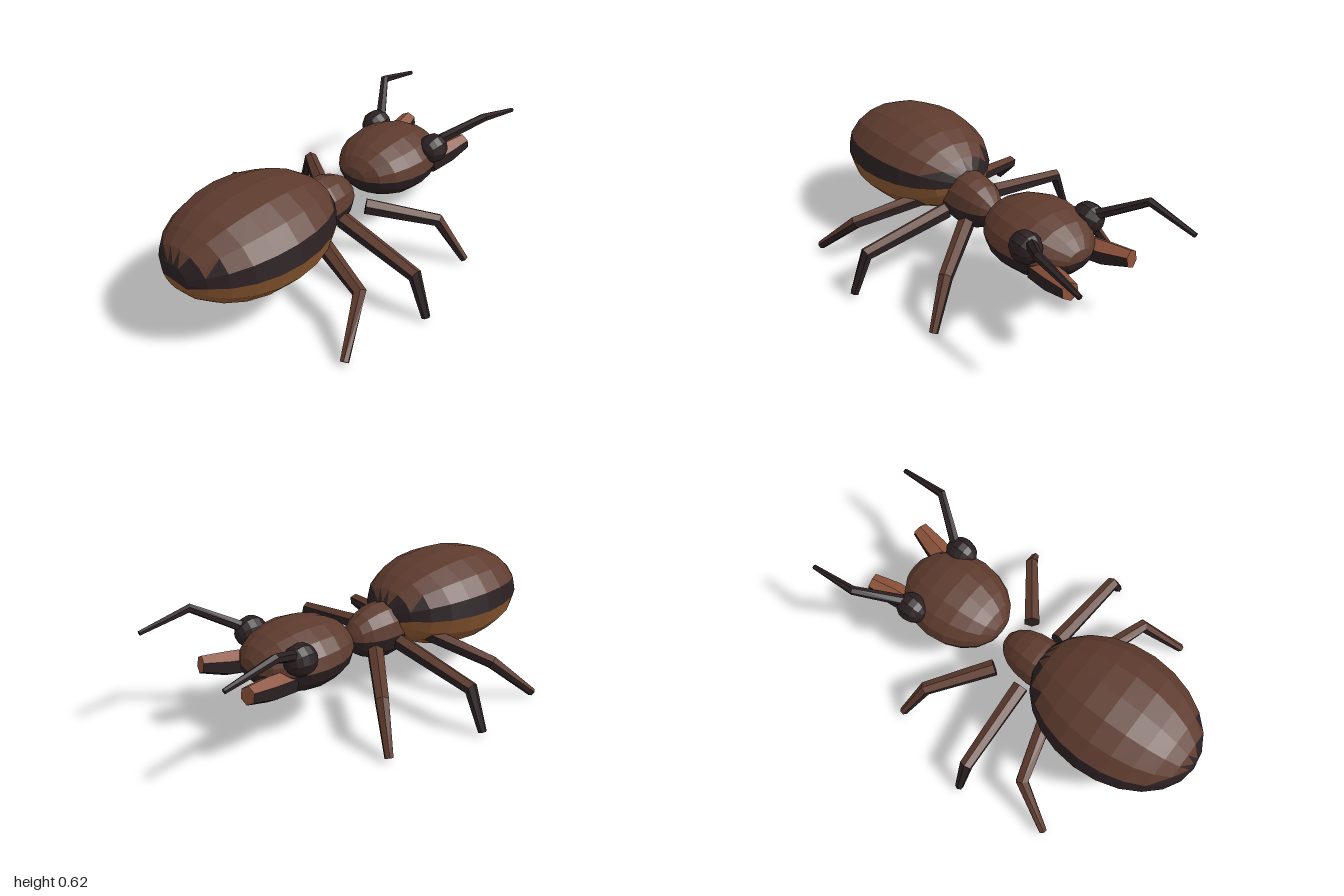
import * as THREE from 'three';

const V = (x, y, z) => new THREE.Vector3(x, y, z);

// Colours each triangle by a rule of its centre and normal, using geometry groups
function paintFaces(geometry, rule) {
  const g = geometry.toNonIndexed();
  const p = g.attributes.position;
  const tri = new THREE.Triangle();
  const mid = V(), normal = V();
  g.clearGroups();
  for (let i = 0; i < p.count; i += 3) {
    tri.setFromAttributeAndIndices(p, i, i + 1, i + 2);
    tri.getMidpoint(mid);
    tri.getNormal(normal);
    g.addGroup(i, 3, rule(mid, normal));
  }
  g.computeVertexNormals();
  return g;
}

// Ellipsoid with its poles along z
function ellipsoid(center, radii, around, along) {
  return new THREE.SphereGeometry(1, around, along)
    .rotateX(Math.PI / 2)
    .scale(...radii)
    .translate(...center);
}

// Six-sided limb through a few points, with a radius at each
function limb(points, radii) {
  const last = points.length - 1;
  const g = new THREE.CylinderGeometry(1, 1, 1, 6, last);
  const frames = points.map((c, i) => {
    const dir = points[Math.min(i + 1, last)].clone().sub(points[Math.max(i - 1, 0)]).normalize();
    const side = dir.clone().cross(V(0, 1, 0)).normalize();
    return { c, side, down: dir.clone().cross(side) };
  });
  const p = g.attributes.position;
  for (let i = 0; i < p.count; i++) {
    const row = Math.round((0.5 - p.getY(i)) * last);
    const { c, side, down } = frames[row];
    const q = c.clone()
      .addScaledVector(side, p.getX(i) * radii[row])
      .addScaledVector(down, p.getZ(i) * radii[row]);
    p.setXYZ(i, q.x, q.y, q.z);
  }
  return g;
}

export function createModel() {
  const material = (name, color) => {
    const m = new THREE.MeshStandardMaterial({ color });
    m.name = name;
    m.flatShading = true;
    return m;
  };
  const brown = material('brown shell', 0x5e3b2e);
  const dark = material('dark shell', 0x2b2022);
  const tan = material('tan belly', 0x8a5730);
  const red = material('reddish jaw', 0x8a5039);

  const model = new THREE.Group();
  model.name = 'ant';
  const add = (name, geometry, mat) => {
    const mesh = new THREE.Mesh(geometry, mat);
    mesh.name = name;
    model.add(mesh);
  };

  // Abdomen: brown back, dark band, tan belly
  add('abdomen', paintFaces(ellipsoid([0, 0.383, 0.555], [0.33, 0.237, 0.44], 16, 12),
    c => (c.y > 0.462 ? 0 : c.y > 0.368 ? 1 : 2)), [brown, dark, tan]);

  // Thorax and head: brown above, dark below
  add('thorax', paintFaces(ellipsoid([0, 0.31, 0.11], [0.125, 0.142, 0.205], 12, 10),
    c => (c.y > 0.31 ? 0 : 1)), [brown, dark]);
  add('head', paintFaces(ellipsoid([0, 0.355, -0.4], [0.235, 0.16, 0.28], 16, 10),
    c => (c.y > 0.355 ? 0 : 1)), [brown, dark]);

  // Hip, knee and foot of each leg on the left side
  const legs = {
    front: [[0.15, 0.29, -0.05], [0.43, 0.23, -0.265], [0.555, 0.02, -0.335]],
    middle: [[0.15, 0.29, 0.11], [0.6, 0.215, 0.13], [0.68, 0.02, 0.135]],
    rear: [[0.16, 0.285, 0.29], [0.5, 0.22, 0.39], [0.6, 0.02, 0.595]],
  };

  for (const [sideName, s] of [['left', 1], ['right', -1]]) {
    const path = pts => pts.map(([x, y, z]) => V(s * x, y, z));

    for (const [name, pts] of Object.entries(legs)) {
      add(`${sideName} ${name} leg`, paintFaces(limb(path(pts), [0.042, 0.034, 0.021]),
        (c, n) => (n.y > 0.42 ? 0 : 1)), [brown, dark]);
    }

    add(`${sideName} eye`, ellipsoid([s * 0.188, 0.427, -0.522], [0.073, 0.077, 0.08], 10, 8), dark);

    add(`${sideName} antenna`, limb(
      path([[0.19, 0.46, -0.56], [0.328, 0.565, -0.75], [0.337, 0.515, -1]]),
      [0.027, 0.022, 0.012]), dark);

    // Jaw: reddish top and tip over dark sides
    add(`${sideName} jaw`, paintFaces(limb(
      path([[0.14, 0.31, -0.55], [0.16, 0.327, -0.68], [0.185, 0.352, -0.8]]),
      [0.06, 0.06, 0.043]),
      (c, n) => (n.y > 0.3 || n.z < -0.8 ? 0 : 1)), [red, dark]);
  }

  return model;
}
